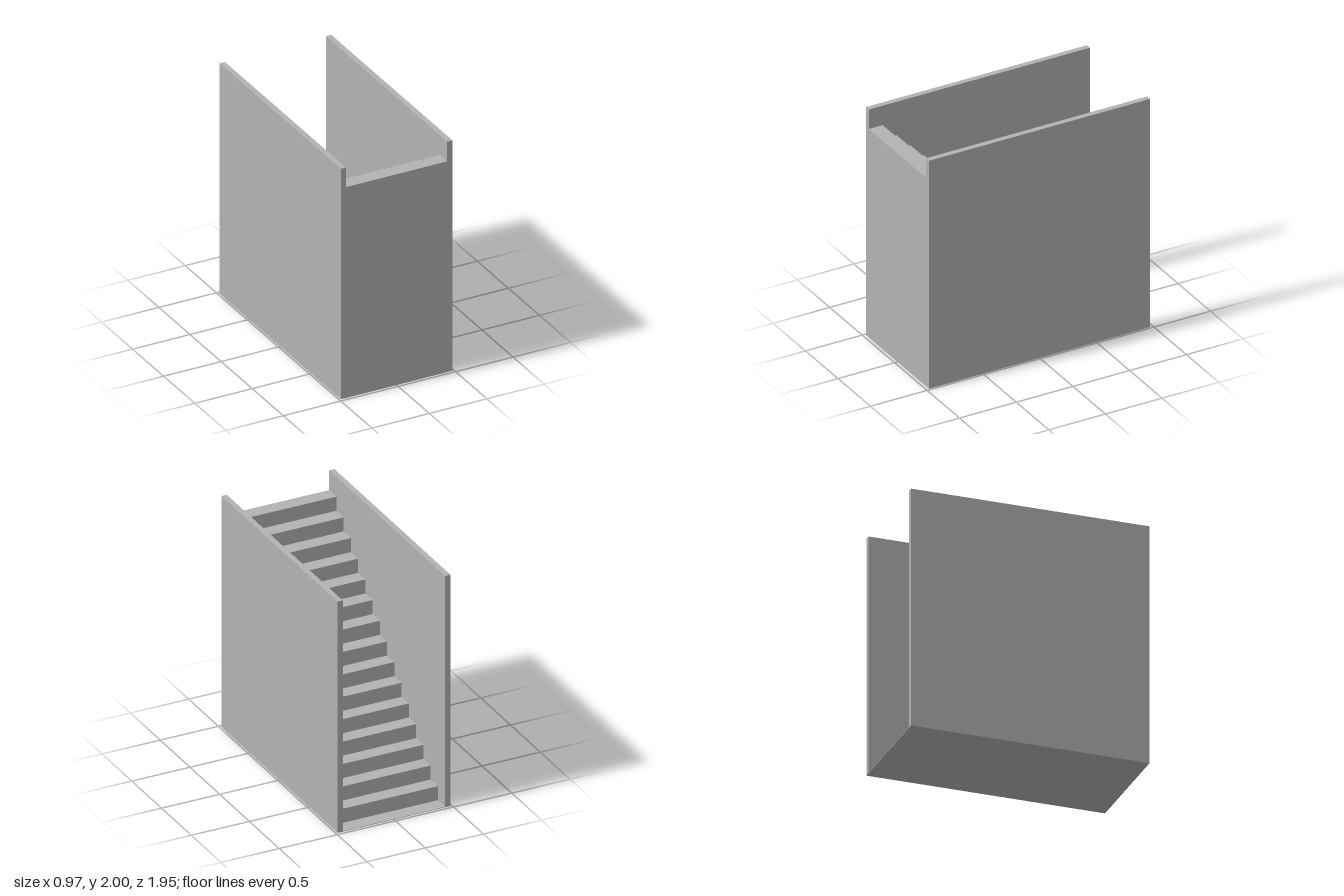
import * as THREE from 'three';

const STEPS = 16;
const DEPTH = 1.95;
const HEIGHT = 2;
const INNER = 0.88; // width between the walls
const WALL = 0.046;
const RUN = DEPTH / STEPS;
const RISE = 0.1217;
const FLOOR = 0.004; // thin lowest tread

export function createModel() {
  const model = new THREE.Group();
  model.name = 'walledStaircase';
  const grey = new THREE.MeshStandardMaterial({ color: 0xb3b3b3 });
  grey.name = 'grey';

  // Solid flight: stepped side profile, climbing from the back to the front
  const profile = new THREE.Shape();
  profile.moveTo(-DEPTH / 2, 0);
  for (let i = 0; i < STEPS; i++) {
    const y = FLOOR + i * RISE;
    const z = -DEPTH / 2 + i * RUN;
    profile.lineTo(z, y);
    profile.lineTo(z + RUN, y);
  }
  profile.lineTo(DEPTH / 2, 0);
  const flight = new THREE.ExtrudeGeometry(profile, { depth: INNER, bevelEnabled: false });
  flight.translate(0, 0, -INNER / 2);
  flight.rotateY(-Math.PI / 2); // profile x becomes z
  const stairs = new THREE.Mesh(flight, grey);
  stairs.name = 'stairs';
  model.add(stairs);

  // Full-height side walls
  const wallGeometry = new THREE.BoxGeometry(WALL, HEIGHT, DEPTH);
  for (const side of [1, -1]) {
    const wall = new THREE.Mesh(wallGeometry, grey);
    wall.name = side > 0 ? 'leftWall' : 'rightWall';
    wall.position.set(side * (INNER + WALL) / 2, HEIGHT / 2, 0);
    model.add(wall);
  }
  return model;
}
